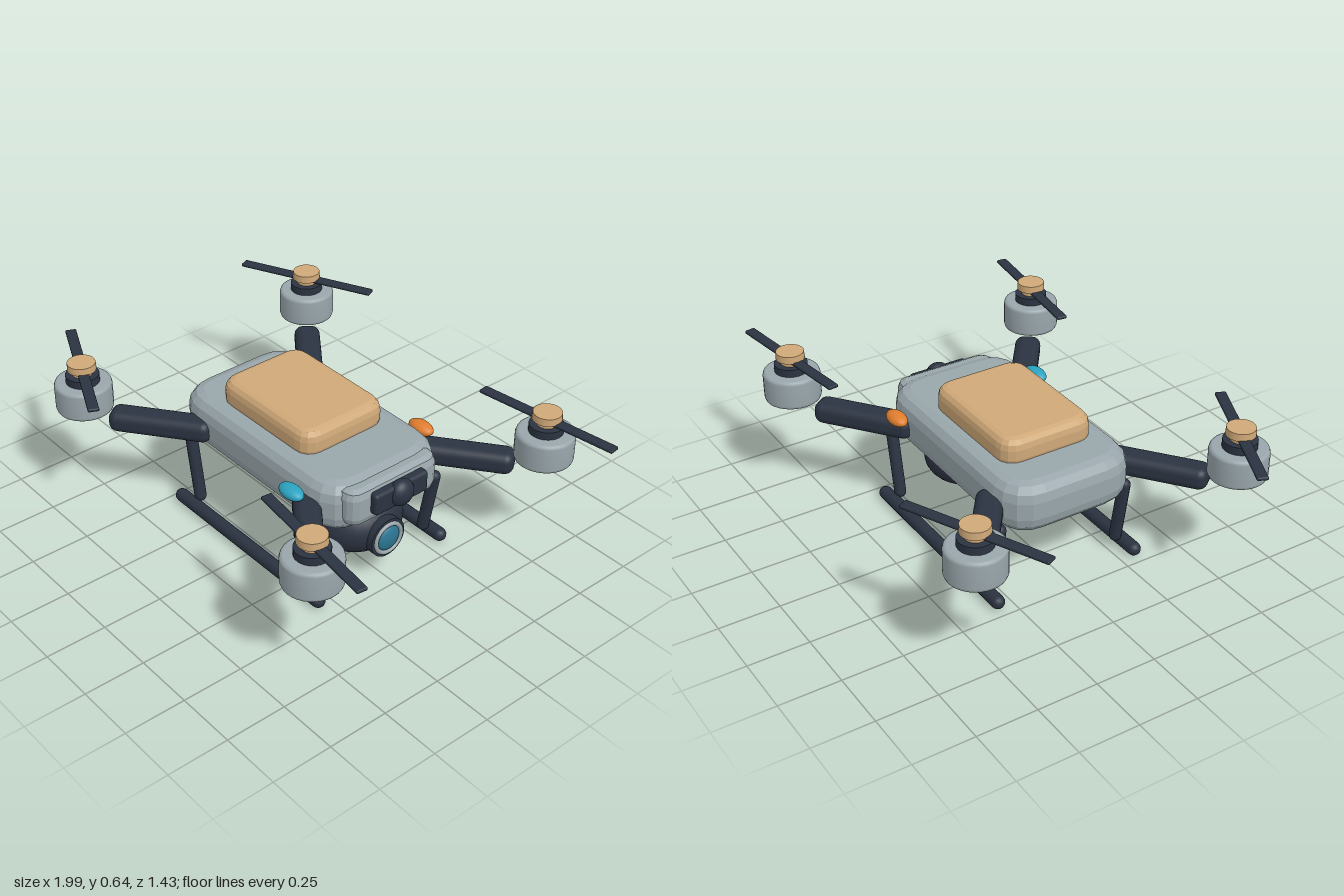
import * as THREE from 'three';
import { RoundedBoxGeometry } from 'three/addons/geometries/RoundedBoxGeometry.js';

const material = (name, color) => {
  const m = new THREE.MeshStandardMaterial({ color });
  m.name = name;
  return m;
};

// Rounded-rectangle slab with bevelled rims, centred on the origin, y up
function slab(w, h, d, corner, bevel, rise, steps) {
  const a = w / 2 - bevel, b = d / 2 - bevel, r = corner;
  const s = new THREE.Shape();
  s.moveTo(-a + r, -b);
  s.lineTo(a - r, -b);
  s.quadraticCurveTo(a, -b, a, -b + r);
  s.lineTo(a, b - r);
  s.quadraticCurveTo(a, b, a - r, b);
  s.lineTo(-a + r, b);
  s.quadraticCurveTo(-a, b, -a, b - r);
  s.lineTo(-a, -b + r);
  s.quadraticCurveTo(-a, -b, -a + r, -b);
  const geo = new THREE.ExtrudeGeometry(s, {
    depth: h - 2 * rise, bevelThickness: rise, bevelSize: bevel, bevelSegments: steps, curveSegments: 4,
  });
  return geo.rotateX(-Math.PI / 2).translate(0, rise - h / 2, 0);
}

export function createModel() {
  const grey = material('shell grey', 0x99a6ab);
  const dark = material('dark graphite', 0x2b3341);
  const tan = material('warm tan', 0xcfa878);
  const cyan = material('cyan light', 0x2ba3c0);
  const orange = material('orange light', 0xdf7d2e);
  const glass = material('lens blue', 0x2b7592);

  const model = new THREE.Group();
  model.name = 'quadcopter';

  const add = (name, geo, mat, x, y, z, parent = model) => {
    const mesh = new THREE.Mesh(geo, mat);
    mesh.name = name;
    mesh.position.set(x, y, z);
    parent.add(mesh);
    return mesh;
  };
  const ellipsoid = (name, mat, p, r) =>
    add(name, new THREE.SphereGeometry(1, 28, 18).scale(...r), mat, ...p);
  const rod = (name, from, to, radius) => {
    const a = new THREE.Vector3(...from), b = new THREE.Vector3(...to);
    const dir = b.clone().sub(a), mid = a.clone().add(b).multiplyScalar(0.5);
    const mesh = add(name, new THREE.CapsuleGeometry(radius, dir.length() - 2 * radius, 5, 14), dark, mid.x, mid.y, mid.z);
    mesh.quaternion.setFromUnitVectors(new THREE.Vector3(0, 1, 0), dir.normalize());
  };

  // Fuselage
  add('body', slab(0.97, 0.21, 0.565, 0.09, 0.06, 0.07, 3), grey, -0.02, 0.415, 0);
  add('nose', slab(0.16, 0.155, 0.44, 0.03, 0.03, 0.035, 2), grey, 0.415, 0.43, 0);
  add('battery', slab(0.54, 0.13, 0.4, 0.04, 0.035, 0.045, 3), tan, -0.055, 0.55, 0);
  add('bellyPlate', new RoundedBoxGeometry(0.56, 0.09, 0.4, 2, 0.025), dark, -0.04, 0.29, 0);

  // Front sensor
  add('visor', new RoundedBoxGeometry(0.05, 0.092, 0.262, 2, 0.015), dark, 0.5, 0.44, 0);
  ellipsoid('frontSensor', dark, [0.515, 0.444, 0], [0.04, 0.055, 0.055]);

  // Camera slung under the nose, looking along +x
  ellipsoid('cameraBall', dark, [0.28, 0.205, 0], [0.165, 0.132, 0.185]);
  const turned = (r, len) => new THREE.CylinderGeometry(r, r, len, 32).rotateZ(-Math.PI / 2);
  add('lensBarrel', turned(0.083, 0.11), dark, 0.4, 0.193, 0);
  add('lensRing', new THREE.TorusGeometry(0.063, 0.009, 10, 36).rotateY(Math.PI / 2), grey, 0.457, 0.193, 0);
  ellipsoid('lens', glass, [0.452, 0.193, 0], [0.022, 0.055, 0.055]);

  // Rotor parts shared by all four corners
  const can = new THREE.LatheGeometry(
    [[0, -0.0625], [0.1, -0.0625], [0.111, -0.058], [0.115, -0.047], [0.115, 0.047],
      [0.111, 0.058], [0.1, 0.0625], [0, 0.0625]].map(([r, y]) => new THREE.Vector2(r, y)), 32);
  const neck = new THREE.CylinderGeometry(0.067, 0.067, 0.04, 28);
  const stem = new THREE.CylinderGeometry(0.04, 0.04, 0.04, 24);
  const cap = new THREE.CylinderGeometry(0.056, 0.058, 0.03, 28);

  for (const side of [1, -1]) {
    for (const [end, motorX, armX, yaw, span] of [
      [1, 0.69, 0.44, 0.131, 0.605], [-1, -0.717, -0.47, 0.43, 0.605],
    ]) {
      // Diagonal arm
      const arm = add('arm', new RoundedBoxGeometry(0.42, 0.092, 0.108, 3, 0.036), dark, armX, 0.401, side * 0.38);
      arm.rotation.y = -side * end * 0.65;

      // Motor and propeller
      const rotor = new THREE.Group();
      rotor.name = 'rotor';
      rotor.position.set(motorX, 0, side * 0.572);
      model.add(rotor);
      add('motor', can, grey, 0, 0.4975, 0, rotor);
      add('motorNeck', neck, dark, 0, 0.572, 0, rotor);
      add('hubStem', stem, tan, 0, 0.605, 0, rotor);
      add('hubCap', cap, tan, 0, 0.629, 0, rotor);
      // Blades mirror across the centre line
      const blades = add('propeller', new RoundedBoxGeometry(span, 0.014, 0.044, 2, 0.005), dark, 0, 0.611, 0, rotor);
      blades.rotation.y = -side * yaw;
    }

    // Landing gear
    rod('skid', [-0.475, 0.028, side * 0.315], [0.445, 0.028, side * 0.315], 0.028);
    rod('rearLeg', [-0.413, 0.345, side * 0.282], [-0.362, 0.035, side * 0.282], 0.025);
    rod('frontLeg', [0.408, 0.345, side * 0.282], [0.35, 0.035, side * 0.282], 0.025);

    // Side navigation light
    ellipsoid('sideLight', side > 0 ? cyan : orange, [0.275, 0.464, side * 0.325], [0.06, 0.026, 0.036]);
  }
  ellipsoid('tailLight', orange, [-0.477, 0.478, 0], [0.014, 0.018, 0.025]);

  return model;
}
